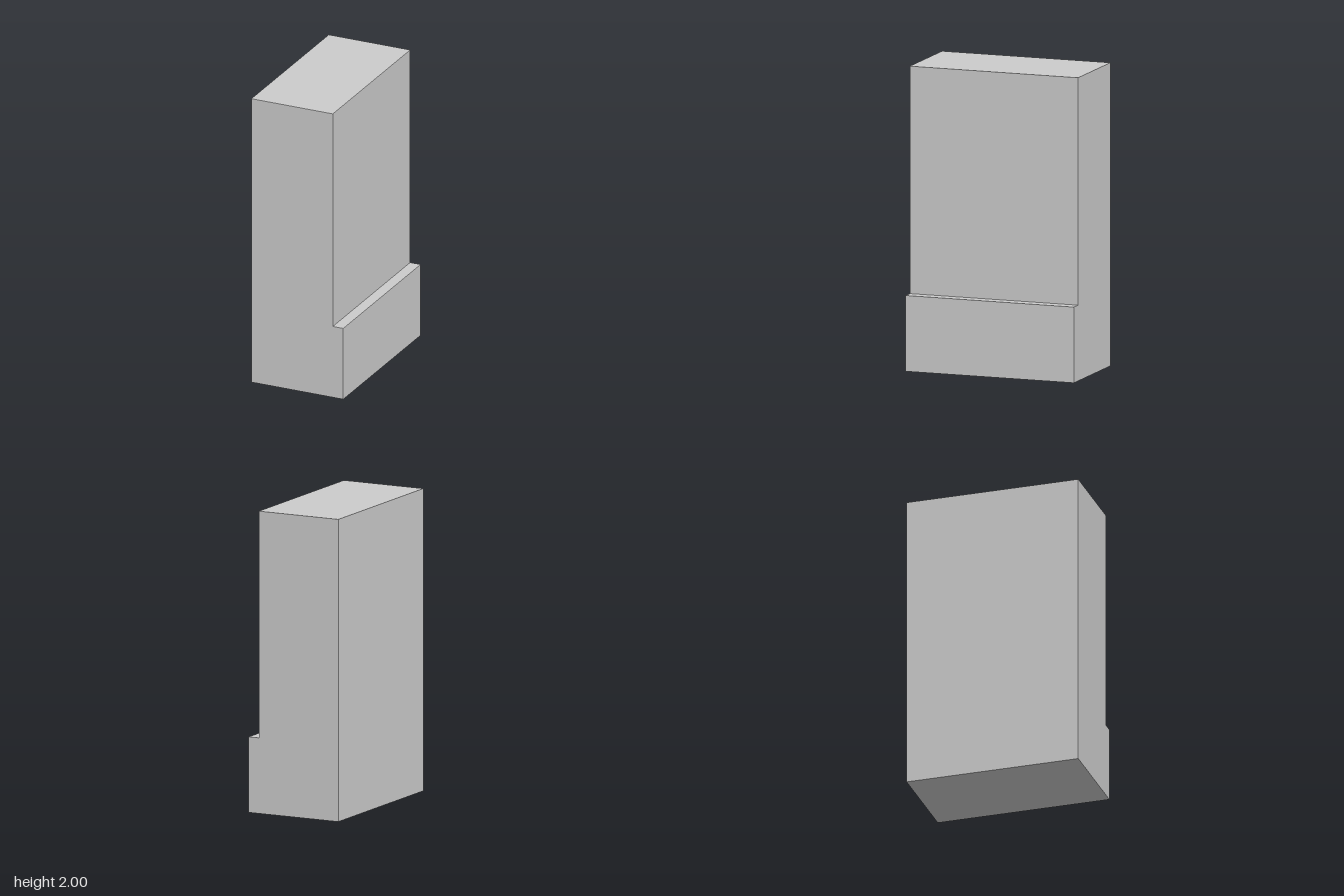
import * as THREE from 'three';

export function createModel() {
  const group = new THREE.Group();
  group.name = 'steppedBlock';
  const material = new THREE.MeshStandardMaterial({ color: 0xcccccc, flatShading: true });

  // Tall block with a low ledge along its left side, as one stepped profile
  const halfWidth = 0.33, wallX = 0.255, ledgeY = 0.5, height = 2, depth = 1.17;
  const profile = new THREE.Shape([
    [-halfWidth, 0],
    [halfWidth, 0],
    [halfWidth, ledgeY],
    [wallX, ledgeY],
    [wallX, height],
    [-halfWidth, height],
  ].map(([x, y]) => new THREE.Vector2(x, y)));

  const geometry = new THREE.ExtrudeGeometry(profile, { depth, bevelEnabled: false });
  geometry.translate(0, 0, -depth / 2);

  const body = new THREE.Mesh(geometry, material);
  body.name = 'wallWithLedge';
  group.add(body);
  return group;
}
